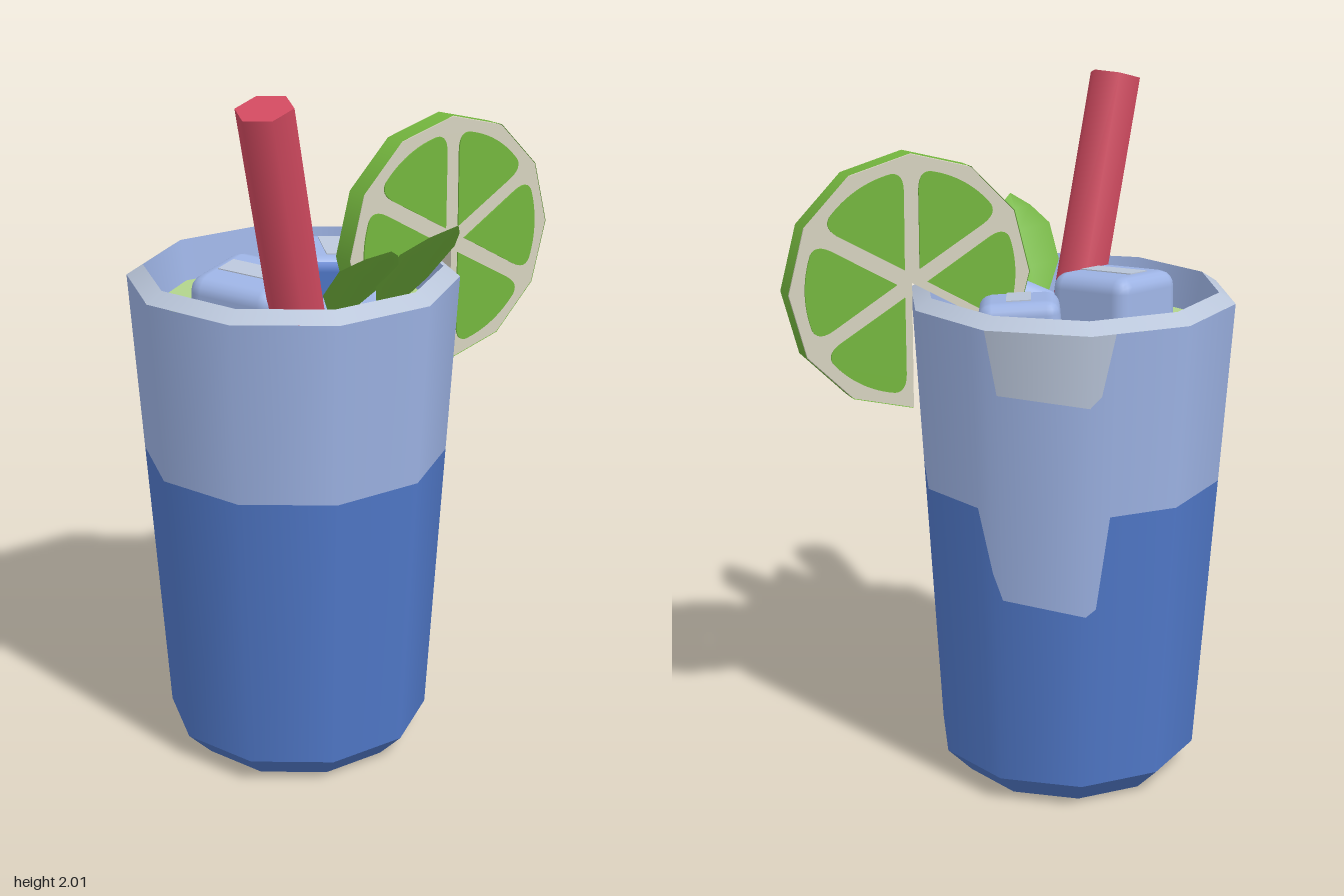
import * as THREE from 'three';
import { RoundedBoxGeometry } from 'three/addons/geometries/RoundedBoxGeometry.js';

const mat = (name, color, side = THREE.FrontSide) => {
  const m = new THREE.MeshStandardMaterial({ color, side });
  m.name = name;
  return m;
};

export function createModel() {
  const deepBlue = mat('deep blue', 0x5078c8);
  const lightBlue = mat('light blue', 0x9db3e4);
  const frost = mat('frost grey', 0xbac6da);
  const drink = mat('pale green', 0xb2d48c);
  const green = mat('leaf green', 0x74b63e, THREE.DoubleSide);
  const pith = mat('pith', 0xd6d2bf);
  const red = mat('straw red', 0xd24a60);

  const model = new THREE.Group();
  const add = (parent, name, geometry, material) => {
    const mesh = new THREE.Mesh(geometry, material);
    mesh.name = name;
    parent.add(mesh);
    return mesh;
  };
  const group = (name, x, y, z) => {
    const g = new THREE.Group();
    g.name = name;
    g.position.set(x, y, z);
    model.add(g);
    return g;
  };

  // Ten-sided glass
  const glass = group('glass', -0.18, 0, -0.02);
  const ring = (name, material, ...pts) =>
    add(glass, name, new THREE.LatheGeometry(pts.map(p => new THREE.Vector2(...p)), 10), material);
  ring('glassBottom', deepBlue, [0, 0], [0.31, 0]);
  ring('glassFoot', deepBlue, [0.31, 0], [0.383, 0.075]);
  ring('glassRim', frost, [0.467, 1.42], [0.42, 1.45]);
  ring('glassInside', lightBlue, [0.42, 1.45], [0.4, 1.31]);
  ring('drinkSurface', drink, [0.405, 1.33], [0, 1.33]);
  ring('drinkCentre', green, [0.075, 1.334], [0, 1.334]);

  // Wall colour borders: position in side numbers from the back, blue top, frost bottom
  const rows = [[-0.25, 0.9, 1.42], [-0.12, 0.63, 1.25], [0, 0.61, 1.22], [0.9, 0.64, 1.24],
    [1, 0.72, 1.42], [1.2, 0.9, 1.42]];
  for (let i = 2; i < 10; i++) rows.push([i, 0.9, 1.42]);
  rows.push([9.75, 0.9, 1.42]);
  const corner = i => new THREE.Vector3(Math.sin(i * Math.PI / 5), 0, -Math.cos(i * Math.PI / 5));
  const wallBand = (name, material, low, high) => {
    const pos = [], nor = [], index = [];
    rows.forEach((row, k) => {
      const i = Math.floor(row[0]);
      const d = corner(i).lerp(corner(i + 1), row[0] - i);
      const n = d.clone().normalize().setY(-0.06).normalize();
      for (const y of [low(row), high(row)]) {
        const r = 0.383 + (y - 0.075) * 0.0625;
        pos.push(d.x * r, y, d.z * r);
        nor.push(n.x, n.y, n.z);
      }
      if (k) {
        const a = 2 * k - 2, b = 2 * k;
        index.push(b, a, a + 1, b, a + 1, b + 1);
      }
    });
    const g = new THREE.BufferGeometry();
    g.setAttribute('position', new THREE.Float32BufferAttribute(pos, 3));
    g.setAttribute('normal', new THREE.Float32BufferAttribute(nor, 3));
    g.setIndex(index);
    add(glass, name, g, material);
  };
  wallBand('lowerWall', deepBlue, () => 0.075, r => r[1]);
  wallBand('upperWall', lightBlue, r => r[1], r => r[2]);
  wallBand('frostPatch', frost, r => r[2], () => 1.42);

  // Citrus slice with one of its six segments cut out
  const slice = group('citrusSlice', 0.28, 1.48, -0.06);
  slice.rotation.y = 0.345;
  const R = 0.36, T = 0.065, deg = Math.PI / 180;
  const prism = (shape, depth) =>
    new THREE.ExtrudeGeometry(shape, { depth, bevelEnabled: false, curveSegments: 6 }).translate(0, 0, -depth / 2);
  const outline = [new THREE.Vector2(0, 0)];
  for (let a = -90; a <= 210; a += 30) {
    outline.push(new THREE.Vector2(Math.cos(a * deg), Math.sin(a * deg)).multiplyScalar(R - 0.002));
  }
  add(slice, 'slicePith', prism(new THREE.Shape(outline), T), pith);
  add(slice, 'sliceRind',
    new THREE.CylinderGeometry(R, R, T, 10, 1, true, 0, 300 * deg).rotateX(Math.PI / 2), green);
  for (let a = -60; a <= 180; a += 60) {
    const p = (r, t) => [r * Math.cos(t), r * Math.sin(t)];
    const s = new THREE.Shape();
    s.moveTo(...p(0.045, 0));
    s.lineTo(...p(0.26, -0.44));
    s.quadraticCurveTo(...p(0.31, -0.45), ...p(0.313, -0.34));
    s.absarc(0, 0, 0.313, -0.34, 0.34, false);
    s.quadraticCurveTo(...p(0.31, 0.45), ...p(0.26, 0.44));
    s.closePath();
    add(slice, 'sliceSegment', prism(s, T + 0.008), green).rotation.z = a * deg;
  }

  // Six-sided leaning straw
  const top = new THREE.Vector3(-0.355, 1.985, 0.378), foot = new THREE.Vector3(-0.215, 1.25, 0.22);
  const axis = top.clone().sub(foot);
  const straw = add(model, 'straw', new THREE.CylinderGeometry(0.078, 0.078, axis.length(), 6), red);
  straw.position.copy(top).add(foot).multiplyScalar(0.5);
  straw.quaternion.setFromUnitVectors(new THREE.Vector3(0, 1, 0), axis.normalize());

  // Ice cubes: frosty stripe on top, one deep blue side
  const ice = (size, x, y, z, rx, ry, rz) => {
    const g = group('iceCube', x, y, z);
    g.rotation.set(rx, ry, rz, 'YXZ');
    add(g, 'iceBlock', new RoundedBoxGeometry(size, size, size, 2, size * 0.17),
      [lightBlue, lightBlue, lightBlue, lightBlue, deepBlue, lightBlue]);
    const stripe = add(g, 'iceStripe', new THREE.BoxGeometry(size * 0.3, 0.006, size * 0.64), frost);
    stripe.position.y = size / 2;
  };
  ice(0.27, -0.315, 1.335, 0.05, 0.06, 0.8, 0.06);
  ice(0.225, -0.025, 1.34, -0.175, 0.08, -0.1, -0.06);
  ice(0.19, -0.04, 1.31, 0.16, 0.55, 0.25, 0.5);

  // Folded mint leaves leaning over the rim
  const leaf = (base, tip, width) => {
    const b = new THREE.Vector3(...base), dir = new THREE.Vector3(...tip).sub(b);
    const side = new THREE.Vector3(dir.z, 0, -dir.x * 0.5).normalize();
    const up = dir.clone().cross(side).normalize();
    const pos = [], index = [];
    [[0, 0.25], [0.3, 0.95], [0.65, 1], [0.85, 0.55], [1, 0]].forEach(([t, w], k) => {
      for (const s of [-1, 0, 1]) {
        const v = b.clone().addScaledVector(dir, t).addScaledVector(side, s * w * width)
          .addScaledVector(up, Math.abs(s) * w * 0.025);
        pos.push(v.x, v.y, v.z);
      }
      if (k) {
        for (const j of [0, 1]) {
          const a = 3 * k - 3 + j, c = 3 * k + j;
          index.push(a, c, a + 1, a + 1, c, c + 1);
        }
      }
    });
    const g = new THREE.BufferGeometry();
    g.setAttribute('position', new THREE.Float32BufferAttribute(pos, 3));
    g.setIndex(index);
    g.computeVertexNormals();
    add(model, 'mintLeaf', g, green);
  };
  leaf([-0.12, 1.36, 0.22], [-0.055, 1.62, 0.485], 0.085);
  leaf([0.01, 1.36, 0.22], [0.13, 1.67, 0.472], 0.085);

  return model;
}
